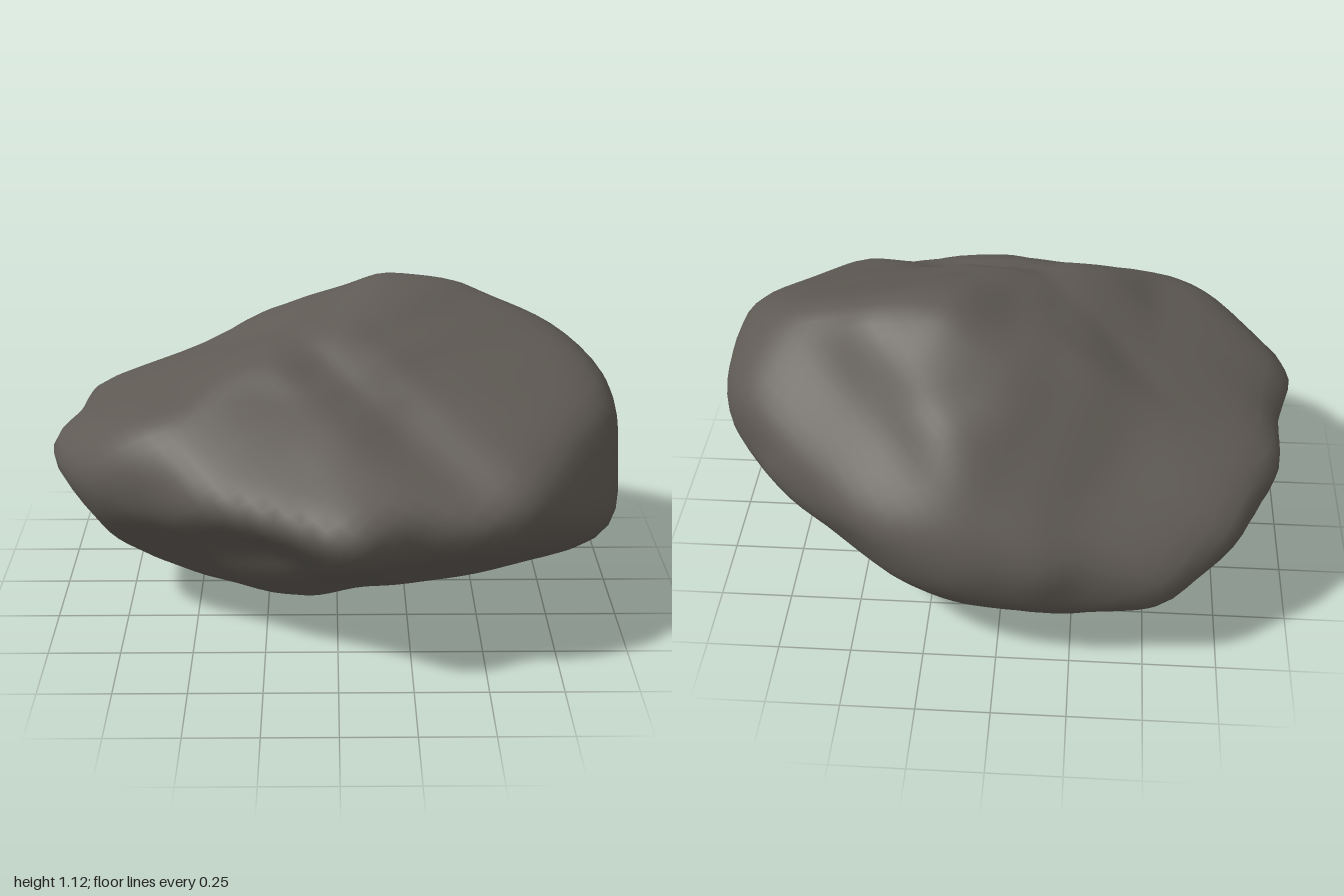
import * as THREE from 'three';
import { mergeVertices } from 'three/addons/utils/BufferGeometryUtils.js';

const V = (x, y, z) => new THREE.Vector3(x, y, z);

// Closed outlines (u, v pairs, in hundredths) that the boulder is carved to, about its middle
const frontCut = [-100, 5, -85, 20, -70, 25, -50, 30, -35, 40, -3, 48, 15, 56, 45, 55, 68, 49, 84, 39, 93, 28,
  100, 13, 98, -12, 85, -28, 40, -37, 20, -45, -10, -51, -30, -55, -50, -56, -58, -50, -82, -28, -83, -16];
const sideCut = [-84, 5, -78, 12, -60, 23, -35, 34, -27, 41, -17, 46, -8, 48, 4, 54, 20, 57, 30, 56, 40, 50,
  52, 35, 62, 30, 71, 18, 82, -3, 84, -11, 78, -29, 63, -44, 52, -51, 40, -56, 12, -57, 0, -51, -15, -52,
  -22, -49, -44, -38, -61, -21, -78, -10];
const planCut = [100, 5, 97, 32, 90, 45, 82, 56, 60, 71, 43, 76, 25, 75, 15, 78, 4, 83, -10, 80, -25, 74,
  -43, 69, -55, 55, -80, 43, -97, 23, -100, 12, -93, -12, -94, -37, -84, -50, -80, -63, -57, -78, -26, -79,
  -16, -84, -3, -81, 11, -83, 38, -77, 62, -58, 83, -46, 92, -33, 98, -18];
const diagonalCutA = [-89, 19, -73, 34, -42, 42, -15, 45, 6, 53, 32, 55, 52, 42, 64, 25, 87, 5, 91, -3, 91, -18,
  77, -36, 74, -41, 52, -53, 9, -52, -31, -46, -50, -31, -59, -20, -82, 1];
const diagonalCutB = [-63, 57, 2, 49, 18, 41, 33, 39, 45, 34, 73, 19, 81, 8, 89, -10, 77, -36, 50, -55, 27, -66,
  12, -72, -1, -71, -25, -59, -39, -58, -55, -50, -73, -32, -80, -13, -91, -2, -91, 9, -87, 14, -88, 28, -85, 36];
const diagonalCutC = [-95, 4, -85, 25, -79, 47, -66, 57, -46, 65, -12, 67, 9, 64, 22, 56, 41, 40, 65, 17, 96, -7,
  98, -18, 78, -31, 55, -53, 39, -58, 27, -56, -7, -56, -21, -51, -45, -37, -60, -27, -87, -9];

// Right and up axes for a diagonal cut direction (sx, sy, sz)
function diagonalAxes(sx, sy, sz) {
  const tilt = THREE.MathUtils.degToRad(22), h = Math.SQRT1_2;
  const k = -sy * Math.sin(tilt) * h;
  return [V(sz * h, 0, -sx * h), V(sx * k, Math.cos(tilt), sz * k)];
}
const cuts = [
  [frontCut, V(1, 0, 0), V(0, 1, 0)],
  [sideCut, V(0, 0, -1), V(0, 1, 0)],
  [planCut, V(1, 0, 0), V(0, 0, 1)],
  [diagonalCutA, ...diagonalAxes(1, 1, 1)],
  [diagonalCutB, ...diagonalAxes(-1, 1, -1)],
  [diagonalCutC, ...diagonalAxes(1, -1, -1)],
];

// Flat break under the right-hand back corner: normal and distance from the middle
const breakNormal = V(0.59, -0.71, -0.38), breakDistance = 0.68;

// Hollows and swellings: towards where, how wide, how high
const lumps = [
  [V(0.3, 0.28, 0.42), 0.28, -0.035],  // hollow in the front slope
  [V(-0.3, -0.13, 0.65), 0.2, -0.04],  // groove under the front ledge
  [V(-0.6, -0.1, 0.45), 0.18, -0.02],  // groove, left end
  [V(0.25, -0.15, 0.65), 0.2, -0.02],  // groove, right end
  [V(-0.35, -0.24, 0.5), 0.22, 0.025], // swelling under the groove
  [V(0.05, -0.3, 0.45), 0.25, -0.03],  // hollow under the front
  [V(0.7, -0.1, 0.4), 0.2, -0.015],    // dip in the right-hand front
  [V(0.04, 0.05, 0.83), 0.16, 0.035],  // front tip
  [V(-1, 0.06, 0.12), 0.14, 0.03],     // left-hand tip
  [V(0.3, 0.55, -0.25), 0.35, 0.02],   // crown
  [V(-0.1, -0.09, -0.84), 0.2, 0.012], // back tip
  [V(-0.8, 0, -0.63), 0.15, 0.02],     // back corner
].map(([v, width, height]) => [v.normalize(), width, height]);

// How far (a, b) lies out towards the outline: 1 means exactly on it
function gauge(outline, a, b) {
  const n = outline.length;
  let best = 0;
  for (let i = 0; i < n; i += 2) {
    const px = outline[i] / 100, py = outline[i + 1] / 100;
    const qx = outline[(i + 2) % n] / 100, qy = outline[(i + 3) % n] / 100;
    const det = px * qy - py * qx;
    const s = (a * qy - b * qx) / det, t = (px * b - py * a) / det;
    if (s >= -1e-9 && t >= -1e-9) best = Math.max(best, s + t);
  }
  return best;
}

// Distance from the middle to the stone surface in direction d
function surfaceRadius(d) {
  const sharpness = 36;
  let total = Math.max(0, d.dot(breakNormal) / breakDistance) ** sharpness;
  for (const [outline, u, v] of cuts) total += gauge(outline, d.dot(u), d.dot(v)) ** sharpness;
  let radius = 1.02 * total ** (-1 / sharpness);
  for (const [v, width, height] of lumps) radius += height * Math.exp(-d.distanceToSquared(v) / width ** 2);
  return radius + 0.005 * Math.sin(11 * d.x + 5 * d.z) * Math.cos(9 * d.y - 8 * d.z);
}

// Pull every vertex part of the way to the average of its neighbours
function relax(geometry, rounds) {
  const pos = geometry.attributes.position, index = geometry.index.array;
  for (let round = 0; round < rounds; round++) {
    const sums = Array.from({ length: pos.count }, () => V(0, 0, 0)), counts = new Uint8Array(pos.count);
    const p = V(0, 0, 0);
    for (let i = 0; i < index.length; i++) {
      sums[index[i]].add(p.fromBufferAttribute(pos, index[i % 3 === 2 ? i - 2 : i + 1]));
      counts[index[i]]++;
    }
    for (let i = 0; i < pos.count; i++) {
      p.fromBufferAttribute(pos, i).lerp(sums[i].divideScalar(counts[i]), 0.5);
      pos.setXYZ(i, p.x, p.y, p.z);
    }
  }
}

export function createModel() {
  const group = new THREE.Group();
  group.name = 'rock';
  const stone = new THREE.MeshStandardMaterial({ color: 0x5f5a54 });
  stone.name = 'dark stone';

  let geometry = new THREE.IcosahedronGeometry(1, 19);
  geometry.deleteAttribute('normal');
  geometry.deleteAttribute('uv');
  geometry = mergeVertices(geometry, 1e-4);

  // Carve the ball to the stone surface, then wear down the ridges
  const pos = geometry.attributes.position, d = V(0, 0, 0);
  for (let i = 0; i < pos.count; i++) {
    d.fromBufferAttribute(pos, i).normalize();
    d.multiplyScalar(surfaceRadius(d));
    pos.setXYZ(i, d.x, d.y, d.z);
  }
  relax(geometry, 2);

  // Stand it on the ground
  geometry.computeBoundingBox();
  geometry.translate(0, -geometry.boundingBox.min.y, 0);
  geometry.computeVertexNormals();

  const boulder = new THREE.Mesh(geometry, stone);
  boulder.name = 'boulder';
  group.add(boulder);
  return group;
}
